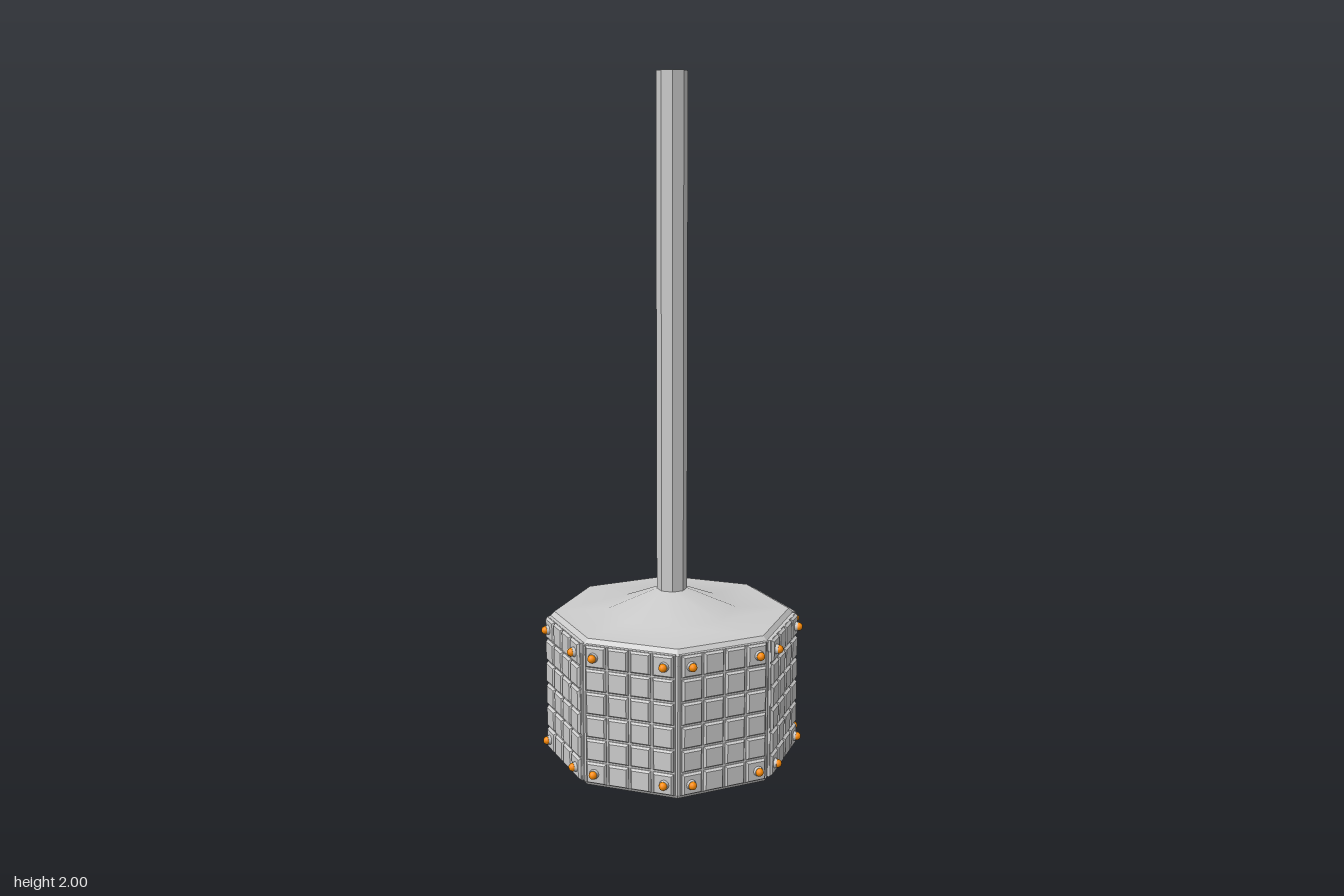
import * as THREE from 'three';
import { toCreasedNormals } from 'three/addons/utils/BufferGeometryUtils.js';

const SIDES = 8, DOOR = 5;
const APO = Math.cos(Math.PI / SIDES); // apothem of a unit octagon
const grey = new THREE.MeshStandardMaterial({ color: 0xcccccc });
const orange = new THREE.MeshStandardMaterial({ color: 0xff8c00 });

function add(parent, name, geometry, material = grey) {
  const mesh = new THREE.Mesh(geometry, material);
  mesh.name = name;
  parent.add(mesh);
  return mesh;
}

// Closed profile [radius, y], counter-clockwise, turned into an octagonal solid
function octagonal(points, crease = 0.5) {
  const profile = [...points, points[0]].map(([r, y]) => new THREE.Vector2(r, y));
  return toCreasedNormals(new THREE.LatheGeometry(profile, SIDES), crease);
}

// One thick side of the octagon, mitred at both ends
function wallGeometry(inner, outer, y0, y1) {
  const s = Math.sin(Math.PI / SIDES);
  const shape = new THREE.Shape([
    new THREE.Vector2(-outer * s, -outer * APO), new THREE.Vector2(outer * s, -outer * APO),
    new THREE.Vector2(inner * s, -inner * APO), new THREE.Vector2(-inner * s, -inner * APO),
  ]);
  const g = new THREE.ExtrudeGeometry(shape, { depth: y1 - y0, bevelEnabled: false });
  return g.rotateX(-Math.PI / 2).translate(0, y0, 0);
}

// Tile with a chamfered outer face
function tileGeometry(w, h, d, chamfer) {
  const g = new THREE.BoxGeometry(w, h, d, 1, 1, 2).toNonIndexed();
  const p = g.attributes.position;
  for (let i = 0; i < p.count; i++) {
    if (p.getZ(i) > d * 0.25) {
      p.setX(i, p.getX(i) - Math.sign(p.getX(i)) * chamfer);
      p.setY(i, p.getY(i) - Math.sign(p.getY(i)) * chamfer);
    }
  }
  g.computeVertexNormals();
  return g;
}

export function createModel() {
  const model = new THREE.Group();
  model.name = 'octagonalTower';

  // Hollow pole
  add(model, 'pole', octagonal([[0.036, 0.46], [0.045, 0.46], [0.045, 2], [0.036, 2]]));

  // Lid with a low cone in the middle and a bevelled rim
  add(model, 'roof', octagonal([
    [0.036, 0.465], [0.19, 0.4], [0.27, 0.385], [0.366, 0.385], [0.366, 0.418],
    [0.35, 0.434], [0.19, 0.441], [0.045, 0.502], [0.036, 0.502],
  ]));

  // Base ring, open in the middle
  add(model, 'baseRing', octagonal([
    [0.27, 0], [0.36, 0], [0.368, 0.012], [0.368, 0.022], [0.27, 0.022],
  ]));

  const cols = 4, rows = 6, pitchX = 0.067, pitchY = 0.069;
  const wall = wallGeometry(0.27, 0.368, 0.02, 0.39);
  const backing = new THREE.BoxGeometry(0.268, 0.41, 0.012);
  const tile = tileGeometry(pitchX - 0.006, pitchY - 0.006, 0.014, 0.005);
  const collar = new THREE.CylinderGeometry(0.013, 0.015, 0.01, 12).rotateX(Math.PI / 2);
  const dome = new THREE.SphereGeometry(0.012, 12, 8);

  for (let k = 0; k < SIDES; k++) {
    const side = new THREE.Group();
    side.rotation.y = (k + 0.5) * Math.PI * 2 / SIDES;
    model.add(side);

    // One side is left open as a doorway with a sill
    if (k === DOOR) {
      side.name = 'doorway';
      add(side, 'sill', new THREE.BoxGeometry(0.265, 0.02, 0.05)).position.set(0, 0.013, 0.327);
      continue;
    }

    side.name = 'side';
    add(side, 'wall', wall);
    add(side, 'tileBacking', backing).position.set(0, 0.217, 0.339);

    // Tile grid, with a bolt on each corner tile
    for (let c = 0; c < cols; c++) {
      for (let r = 0; r < rows; r++) {
        const x = (c - (cols - 1) / 2) * pitchX;
        const y = 0.217 + (r - (rows - 1) / 2) * pitchY;
        add(side, 'tile', tile).position.set(x, y, 0.347);
        if ((c === 0 || c === cols - 1) && (r === 0 || r === rows - 1)) {
          const bx = x + Math.sign(x) * 0.005;
          add(side, 'boltCollar', collar).position.set(bx, y, 0.357);
          add(side, 'boltHead', dome, orange).position.set(bx, y, 0.363);
        }
      }
    }
  }
  return model;
}
